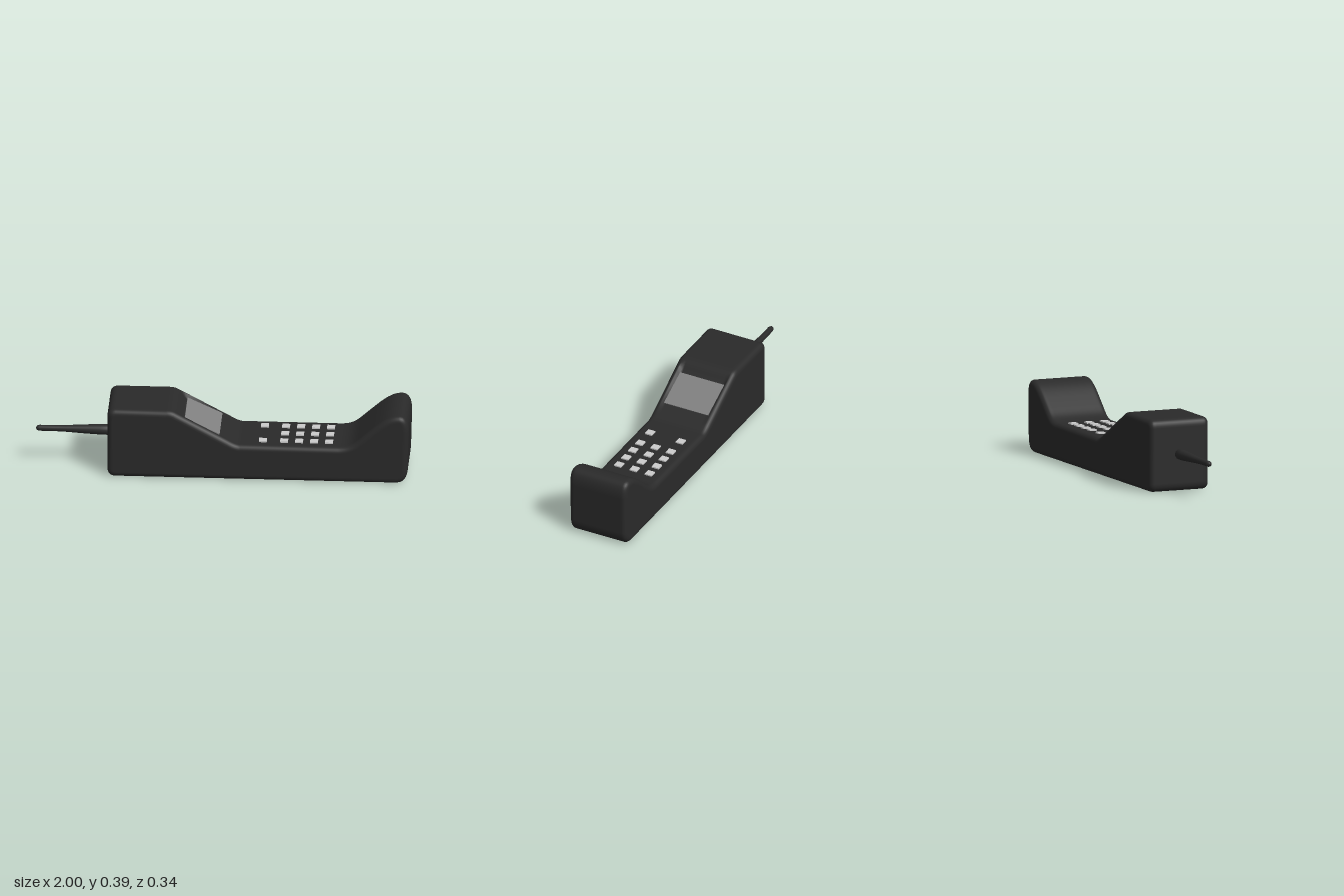
import * as THREE from 'three';
import { mergeVertices } from 'three/addons/utils/BufferGeometryUtils.js';

const mat = (color) => new THREE.MeshStandardMaterial({ color });

// straight upper slope and the shallow recess that holds the screen
const slopeY = (x) => 0.38 - 0.544 * (x + 0.25);
const recess = (x) => 0.02 * THREE.MathUtils.smoothstep(x, -0.25, -0.2) * Math.min(1, Math.max(0, 1 - (x + 0.2) / 0.25));

function bodyGeometry() {
  // side profile, counter-clockwise from the bottom left
  const s = new THREE.Shape();
  s.moveTo(-0.565, 0);
  s.lineTo(0.925, 0);
  s.quadraticCurveTo(0.988, 0, 0.993, 0.08);
  s.lineTo(0.999, 0.3);
  s.bezierCurveTo(0.999, 0.36, 0.98, 0.39, 0.944, 0.39);
  s.bezierCurveTo(0.88, 0.39, 0.82, 0.325, 0.757, 0.27);
  s.bezierCurveTo(0.715, 0.232, 0.69, 0.2, 0.62, 0.2);
  s.lineTo(0.1, 0.2);
  s.quadraticCurveTo(0.075, 0.2, 0.035, slopeY(0.035));
  for (let i = 1; i <= 24; i++) {
    const x = 0.035 - (0.285 * i) / 24;
    s.lineTo(x, slopeY(x));
  }
  s.quadraticCurveTo(-0.268, 0.39, -0.295, 0.39);
  s.lineTo(-0.565, 0.39);
  s.quadraticCurveTo(-0.61, 0.39, -0.61, 0.345);
  s.lineTo(-0.61, 0.045);
  s.quadraticCurveTo(-0.61, 0, -0.565, 0);

  const geo = new THREE.ExtrudeGeometry(s, {
    depth: 0.288, steps: 24, curveSegments: 8,
    bevelThickness: 0.028, bevelSize: 0.03, bevelOffset: -0.03, bevelSegments: 6,
  });
  geo.translate(0, 0, -0.144);

  // press the recess into the middle of the slope
  const p = geo.attributes.position;
  for (let i = 0; i < p.count; i++) {
    const x = p.getX(i), y = p.getY(i);
    if (y > 0.15 && x > -0.26 && x < 0.06 && Math.abs(p.getZ(i)) < 0.138) p.setY(i, y - recess(x));
  }
  geo.deleteAttribute('normal');
  geo.deleteAttribute('uv');
  const smooth = mergeVertices(geo, 1e-5);
  smooth.computeVertexNormals();
  return smooth;
}

export function createModel() {
  const root = new THREE.Group();
  root.name = 'mobilePhone';
  const black = mat(0x2a2a2a), keyGrey = mat(0xcccccc), screenGrey = mat(0x808080);
  const add = (name, geo, material, parent = root) => {
    const m = new THREE.Mesh(geo, material);
    m.name = name;
    parent.add(m);
    return m;
  };

  add('body', bodyGeometry(), black);

  // tapered antenna with a rounded tip, lying along -x
  const profile = [[0, 0.58], [0.029, 0.6], [0.028, 0.66], [0.024, 0.74], [0.018, 0.84],
    [0.016, 0.9], [0.016, 0.98], [0.012, 0.994], [0, 1]].map(([r, d]) => new THREE.Vector2(r, d));
  const antenna = add('antenna', new THREE.LatheGeometry(profile, 24), black);
  antenna.rotation.z = Math.PI / 2;
  antenna.position.y = 0.2;

  // screen lying in the recess
  const sx = -0.107;
  const screen = add('screen', new THREE.BoxGeometry(0.205, 0.01, 0.265), screenGrey);
  screen.position.set(sx, slopeY(sx) - recess(sx), -0.002);
  screen.rotation.z = Math.atan(-0.464);

  // keypad: four full rows and one row of two keys
  const keypad = new THREE.Group();
  keypad.name = 'keypad';
  root.add(keypad);
  const keyGeo = new THREE.BoxGeometry(0.042, 0.02, 0.042);
  for (const x of [0.217, 0.33, 0.41, 0.49, 0.57]) {
    for (const z of [-0.092, 0, 0.092]) {
      if (x < 0.3 && z === 0) continue;
      add('key', keyGeo, keyGrey, keypad).position.set(x, 0.197, z);
    }
  }
  return root;
}
